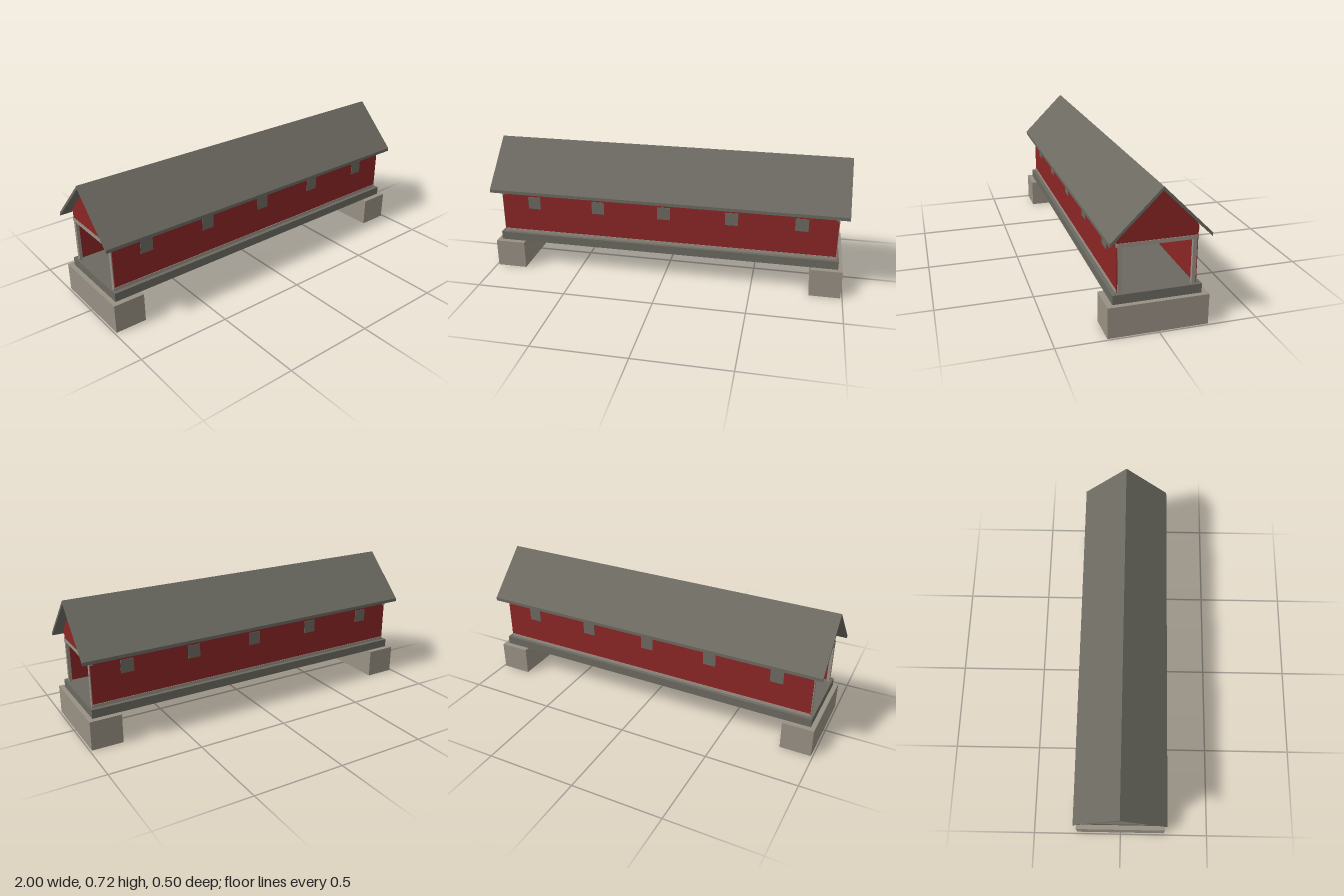
import * as THREE from 'three';

const mat = (name, color) => {
  const m = new THREE.MeshStandardMaterial({ color });
  m.name = name;
  return m;
};

export function createModel() {
  const red = mat('barn red', 0x8b2525);
  const grey = mat('weathered grey', 0x6b6960);
  const stone = mat('pale stone', 0x989084);

  const model = new THREE.Group();
  model.name = 'coveredBridge';

  // Box given by its extents along each axis
  const box = (name, material, [x0, x1], [y0, y1], [z0, z1]) => {
    const mesh = new THREE.Mesh(new THREE.BoxGeometry(x1 - x0, y1 - y0, z1 - z0), material);
    mesh.position.set((x0 + x1) / 2, (y0 + y1) / 2, (z0 + z1) / 2);
    mesh.name = name;
    model.add(mesh);
  };
  const span = (s, a, b) => (s > 0 ? [a, b] : [-b, -a]);

  // Cross-section in (z, y) extruded along x
  const extrudeX = (name, material, points, x0, x1) => {
    const shape = new THREE.Shape(points.map(([z, y]) => new THREE.Vector2(-z, y)));
    const geo = new THREE.ExtrudeGeometry(shape, { depth: x1 - x0, bevelEnabled: false });
    geo.rotateY(Math.PI / 2).translate(x0, 0, 0);
    const mesh = new THREE.Mesh(geo, material);
    mesh.name = name;
    model.add(mesh);
  };

  // Deck
  box('deck', grey, [-0.965, 0.965], [0.158, 0.205], [-0.22, 0.22]);

  // Long side walls with sill trim and windows
  for (const s of [1, -1]) {
    box('sideWall', red, [-0.948, 0.948], [0.205, 0.502], span(s, 0.188, 0.197));
    box('sillTrim', stone, [-0.948, 0.948], [0.205, 0.222], span(s, 0.196, 0.2));
    box('eaveTrim', stone, [-0.948, 0.948], [0.475, 0.5], span(s, 0.196, 0.2));
    for (let i = -2; i <= 2; i++) {
      const x = i * 0.378;
      box('window', grey, [x - 0.036, x + 0.036], [0.358, 0.43], span(s, 0.196, 0.2));
    }
  }

  // Both ends: abutment, portal frame and gable
  for (const e of [1, -1]) {
    box('abutment', stone, span(e, 0.82, 0.99), [0, 0.158], [-0.25, 0.25]);
    for (const s of [1, -1]) {
      box('portalPost', stone, span(e, 0.935, 0.952), [0.205, 0.432], span(s, 0.172, 0.192));
    }
    box('portalLintel', stone, span(e, 0.935, 0.952), [0.432, 0.452], [-0.198, 0.198]);
    extrudeX('gable', red,
      [[-0.197, 0.452], [0.197, 0.452], [0.197, 0.504], [0, 0.703], [-0.197, 0.504]],
      ...span(e, 0.938, 0.949));
  }

  // Pitched roof
  extrudeX('roof', grey,
    [[0, 0.722], [0.245, 0.477], [0.245, 0.459], [0, 0.703], [-0.245, 0.459], [-0.245, 0.477]],
    -1, 1);

  return model;
}
